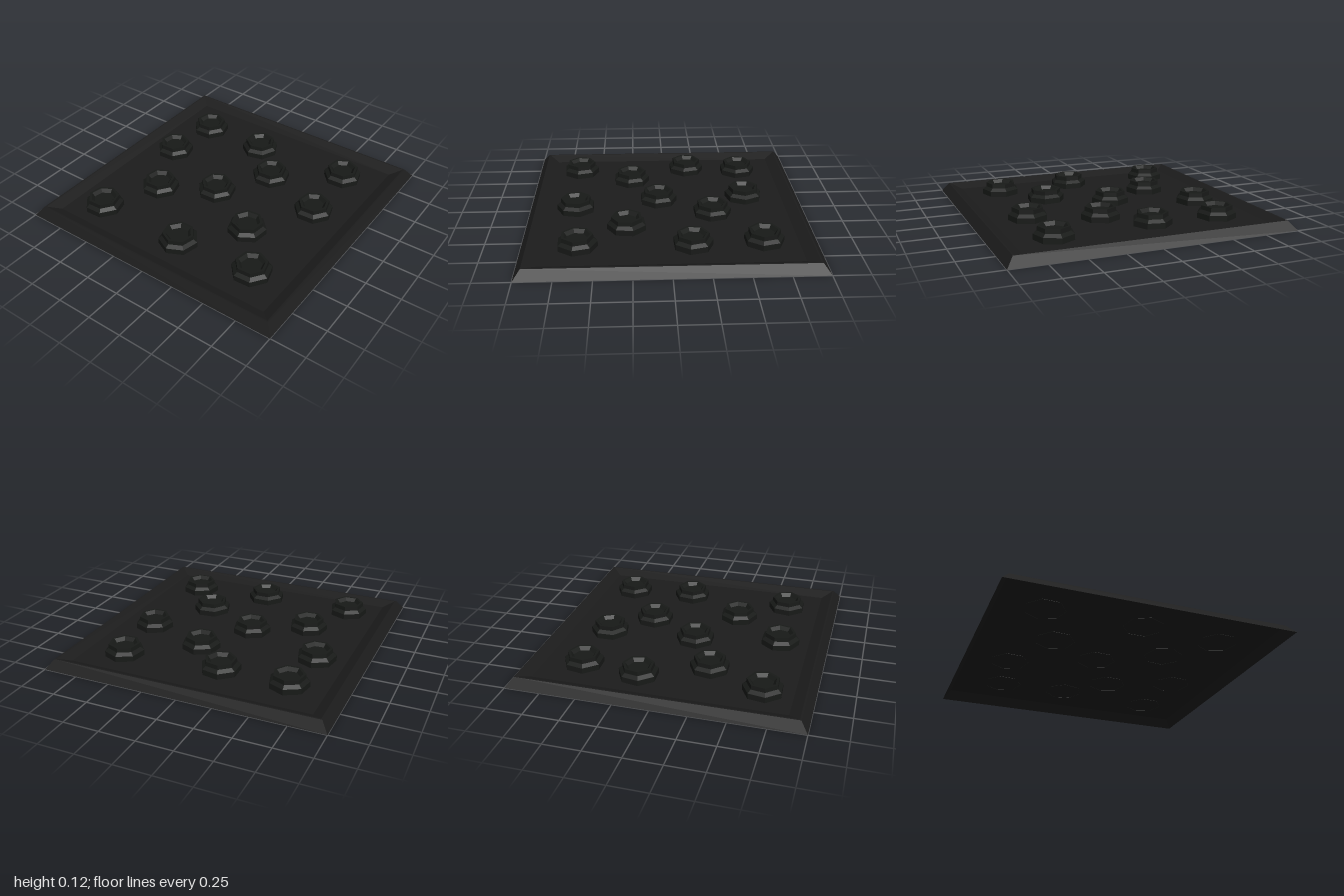
import * as THREE from 'three';

const plateMat = new THREE.MeshStandardMaterial({ color: 0x1c1c1c, flatShading: true, side: THREE.DoubleSide });
const studMat = new THREE.MeshStandardMaterial({ color: 0x181a18, flatShading: true, side: THREE.DoubleSide });

// Faceted solid of revolution from [radius, y] pairs
function facetedLathe(profile, sides, scale = 1) {
  return new THREE.LatheGeometry(profile.map(([r, y]) => new THREE.Vector2(r * scale, y)), sides);
}

export function createModel() {
  const model = new THREE.Group();
  model.name = 'studdedFloorPlate';

  // Square plate, open underneath: bevelled edge, thin rim, sunken floor
  const plateGeo = facetedLathe(
    [[1, 0], [0.95, 0.064], [0.94, 0.064], [0.865, 0.03], [0, 0.03]], 4, Math.SQRT2);
  plateGeo.rotateY(Math.PI / 4);
  const plate = new THREE.Mesh(plateGeo, plateMat);
  plate.name = 'plate';
  model.add(plate);

  // Seven-sided stud: flange, sloped shoulder, raised collar, dished top
  const studGeo = facetedLathe(
    [[0.138, 0.028], [0.138, 0.07], [0.112, 0.09], [0.11, 0.12], [0.092, 0.12], [0.072, 0.095], [0, 0.095]], 7);
  studGeo.rotateY(Math.PI / 2);

  // Stud placements: x, z, turn
  const placements = [
    [-0.66, -0.64, 0.05], [-0.26, -0.45, 0.05], [0.18, -0.66, 0.05], [0.59, -0.61, 0.05],
    [-0.06, -0.08, 0.05], [0.58, -0.12, 0.25], [-0.66, 0.04, Math.PI], [0.32, 0.15, 0.05],
    [-0.29, 0.35, Math.PI + 0.1], [-0.62, 0.61, 0.05], [0.15, 0.62, 0.05], [0.63, 0.59, 0.05],
  ];
  const studs = new THREE.Group();
  studs.name = 'studs';
  for (const [x, z, turn] of placements) {
    const stud = new THREE.Mesh(studGeo, studMat);
    stud.name = 'stud';
    stud.position.set(x, 0, z);
    stud.rotation.y = turn;
    studs.add(stud);
  }
  model.add(studs);
  return model;
}
